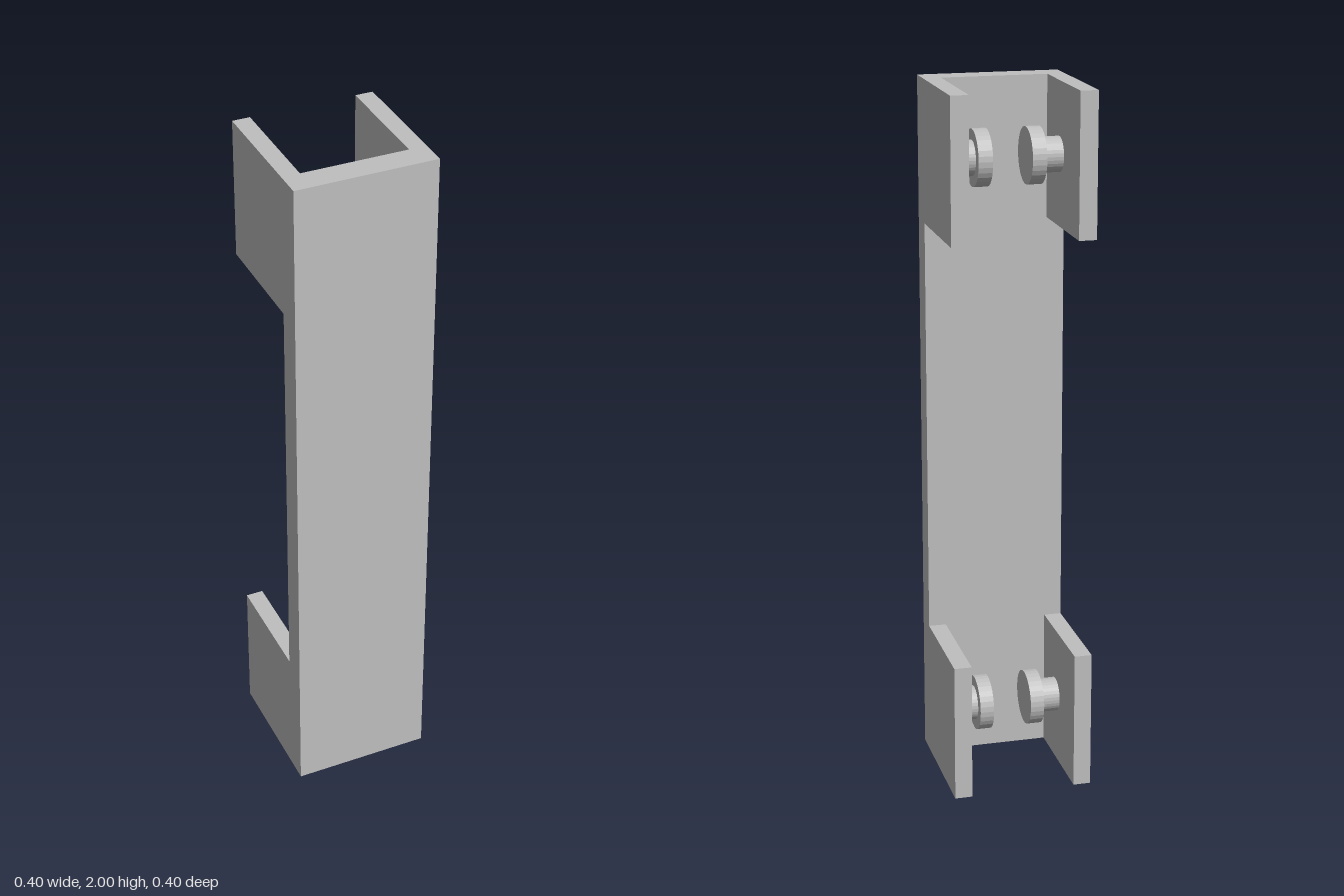
import * as THREE from 'three';

export function createModel() {
  const model = new THREE.Group();
  const grey = new THREE.MeshStandardMaterial({ color: 0xbfbfbf });
  grey.name = 'plain grey';

  const add = (name, geometry, x, y, z) => {
    const mesh = new THREE.Mesh(geometry, grey);
    mesh.name = name;
    mesh.position.set(x, y, z);
    model.add(mesh);
  };

  // Faceted cylinder lying along x
  const peg = (radius, length) => {
    const g = new THREE.CylinderGeometry(radius, radius, length, 32).rotateZ(Math.PI / 2).toNonIndexed();
    g.computeVertexNormals();
    return g;
  };

  // Each side is one C-shaped cheek: full-height strip with a jaw at each end
  const outline = new THREE.Shape([
    [0.2, 0], [0.2, 2], [-0.2, 2], [-0.2, 1.6],
    [0.125, 1.6], [0.125, 0.4], [-0.2, 0.4], [-0.2, 0],
  ].map(([z, y]) => new THREE.Vector2(-z, y)));
  const cheek = new THREE.ExtrudeGeometry(outline, { depth: 0.05, bevelEnabled: false });
  cheek.translate(0, 0, -0.025).rotateY(Math.PI / 2); // shape x becomes -z

  // Front plate between the cheeks
  add('frontPlate', new THREE.BoxGeometry(0.3, 2, 0.075), 0, 1, 0.1625);

  for (const [side, s] of [['left', 1], ['right', -1]]) {
    add(`${side}Cheek`, cheek, s * 0.175, 0, 0);
    // Inward-facing studs with wide heads
    for (const [level, y] of [['Lower', 0.2], ['Upper', 1.8]]) {
      add(`${side}${level}StudShaft`, peg(0.049, 0.055), s * 0.1225, y, 0);
      add(`${side}${level}StudHead`, peg(0.079, 0.04), s * 0.075, y, 0);
    }
  }
  return model;
}
